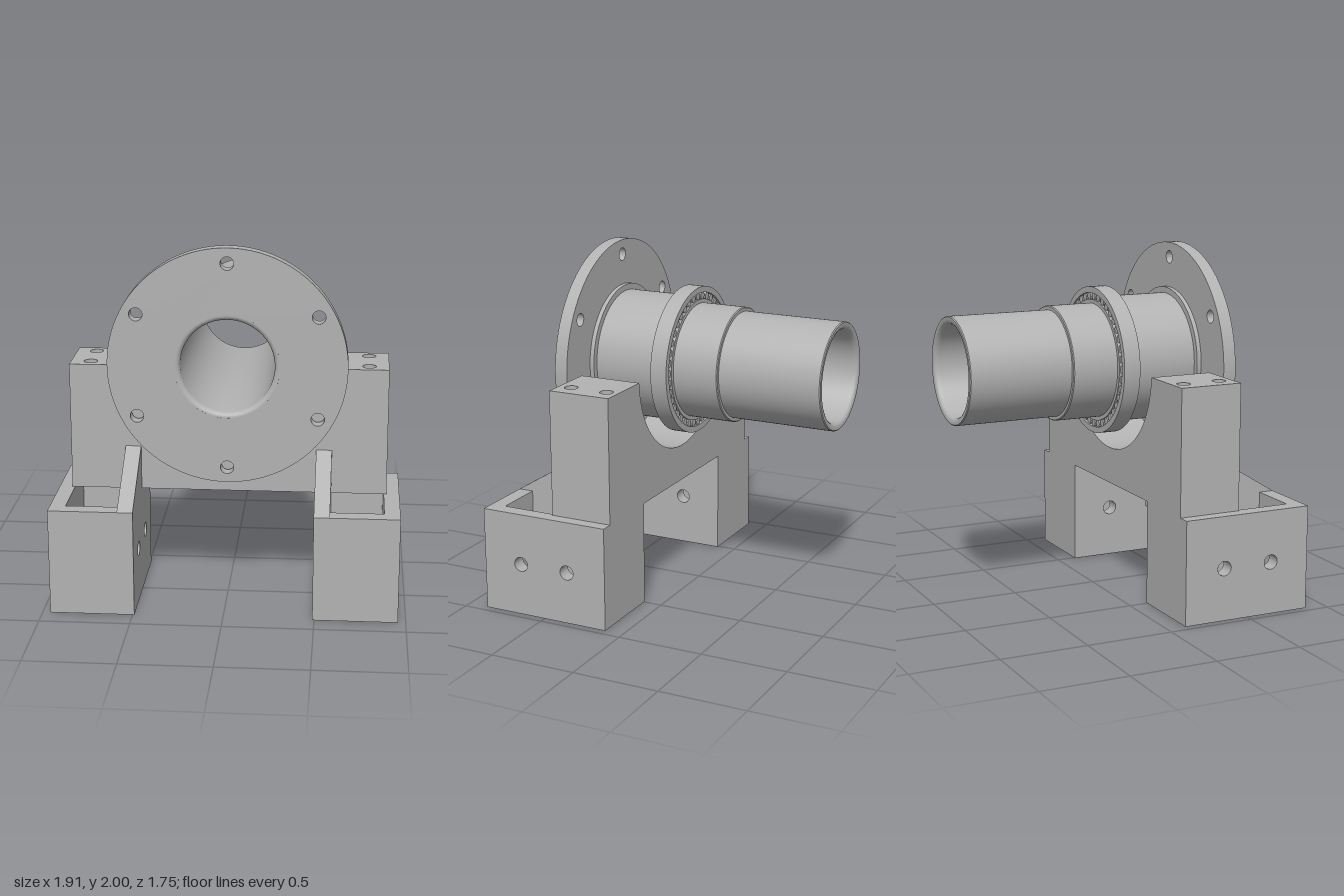
import * as THREE from 'three';
import { toCreasedNormals } from 'three/addons/utils/BufferGeometryUtils.js';

const AXIS_Y = 1.34;

export function createModel() {
  const model = new THREE.Group();
  model.name = 'spindleOnStand';
  const steel = new THREE.MeshStandardMaterial({ color: 0xb2b2b2, side: THREE.DoubleSide });
  steel.name = 'plain grey steel';

  const add = (name, geometry, parent = model) => {
    const mesh = new THREE.Mesh(toCreasedNormals(geometry, 0.5), steel);
    mesh.name = name;
    parent.add(mesh);
    return mesh;
  };
  const box = (name, x0, x1, y0, y1, z0, z1) =>
    add(name, new THREE.BoxGeometry(x1 - x0, y1 - y0, z1 - z0)
      .translate((x0 + x1) / 2, (y0 + y1) / 2, (z0 + z1) / 2));
  const polygon = (points) => new THREE.Shape(points.map(([x, y]) => new THREE.Vector2(x, y)));
  const hole = (shape, x, y, r) =>
    shape.holes.push(new THREE.Path().absarc(x, y, r, 0, Math.PI * 2, true));
  const extrude = (shape, depth) =>
    new THREE.ExtrudeGeometry(shape, { depth, bevelEnabled: false, curveSegments: 32 });
  // Plate drawn in (z, y), with its thickness along x
  const sidePlate = (name, shape, x0, x1) =>
    add(name, extrude(shape, x1 - x0).rotateY(-Math.PI / 2).translate(x1, 0, 0));
  // Turned part from [radius, z] pairs: outside from back to front, then inside back again
  const turned = (name, profile, parent) =>
    add(name, new THREE.LatheGeometry(
      [...profile, profile[0]].map(([r, z]) => new THREE.Vector2(r, z)), 96).rotateX(Math.PI / 2), parent);

  // Rotating parts, all about the z axis at the spindle height
  const spindle = new THREE.Group();
  spindle.name = 'spindle';
  spindle.position.y = AXIS_Y;
  model.add(spindle);

  turned('hollowShaft', [
    [0.302, -0.875], [0.307, -0.87], [0.307, -0.27], [0.325, -0.27], [0.33, -0.265],
    [0.33, 0.095], [0.365, 0.095], [0.365, 0.47], [0.4, 0.47], [0.4, 0.497], [0.29, 0.497],
    [0.29, 0.57], [0.284, 0.57], [0.275, 0.567], [0.267, 0.56], [0.262, 0.551], [0.26, 0.54],
    [0.26, -0.845], [0.264, -0.86], [0.273, -0.871], [0.281, -0.875],
  ], spindle);

  // Front flange with six bolt holes
  const flange = new THREE.Shape().absarc(0, 0, 0.66, 0, Math.PI * 2);
  hole(flange, 0, 0, 0.29);
  for (let i = 0; i < 6; i++) {
    const a = Math.PI / 6 + i * Math.PI / 3;
    hole(flange, 0.575 * Math.cos(a), 0.575 * Math.sin(a), 0.037);
  }
  const flangeGeometry = new THREE.ExtrudeGeometry(flange,
    { depth: 0.075, bevelEnabled: false, curveSegments: 80 });
  add('flange', flangeGeometry.translate(0, 0, 0.495), spindle);

  // Roller bearing behind the stand
  turned('bearingOuterRing', [[0.425, -0.003], [0.425, 0.095], [0.39, 0.095], [0.39, -0.003]], spindle);
  turned('bearingInnerRing', [[0.352, 0], [0.352, 0.095], [0.328, 0.095], [0.328, 0]], spindle);
  const rollers = 40;
  for (let i = 0; i < rollers; i++) {
    const a = i / rollers * Math.PI * 2;
    const roller = add('bearingRoller',
      new THREE.CylinderGeometry(0.022, 0.022, 0.085, 12).rotateX(Math.PI / 2), spindle);
    roller.position.set(0.371 * Math.cos(a), 0.371 * Math.sin(a), 0.048);
  }

  // Saddle with a round cradle; its outer shoulders carry the drilled blocks
  const cut = Math.asin((AXIS_Y - 1.315) / 0.53);
  const saddle = polygon([[-0.885, 0.597], [0.885, 0.597], [0.885, 1.07], [0.66, 1.07],
    [0.66, 1.315], [0.53, 1.315]]);
  saddle.absarc(0, AXIS_Y, 0.53, -cut, -Math.PI + cut, true);
  saddle.lineTo(-0.66, 1.315);
  saddle.lineTo(-0.66, 1.07);
  saddle.lineTo(-0.885, 1.07);
  add('saddle', extrude(saddle, 0.365).translate(0, 0, 0.11));

  for (const s of [-1, 1]) {
    const side = s > 0 ? 'left' : 'right';
    const span = (a, b) => (s > 0 ? [a, b] : [-b, -a]);

    // Drilled block on top of the saddle, with cone-bottomed holes
    const [bx0, bx1] = span(0.66, 0.885);
    const block = polygon([[bx0, -0.475], [bx1, -0.475], [bx1, -0.11], [bx0, -0.11]]);
    for (const z of [0.18, 0.4]) {
      hole(block, s * 0.775, -z, 0.038);
      const cone = [new THREE.Vector2(0, 1.09), new THREE.Vector2(0.038, 1.115)];
      add(side + 'DrillPoint', new THREE.LatheGeometry(cone, 32).translate(s * 0.775, 0, z));
    }
    add(side + 'DrilledBlock', extrude(block, 0.245).rotateX(-Math.PI / 2).translate(0, 1.07, 0));

    // Hollow foot: two drilled side walls, front and back walls
    const wall = polygon([[0.11, 0], [0.88, 0], [0.88, 0.597], [0.11, 0.597]]);
    for (const z of [0.35, 0.645]) hole(wall, z, 0.3, 0.042);
    sidePlate(side + 'FootInnerWall', wall, ...span(0.49, 0.577));
    sidePlate(side + 'FootOuterWall', wall, ...span(0.87, 0.957));
    box(side + 'FootFrontWall', ...span(0.577, 0.87), 0, 0.597, 0.793, 0.88);
    box(side + 'FootBackWall', ...span(0.577, 0.87), 0, 0.597, 0.11, 0.197);

    // Sloping rib from foot to saddle
    const rib = polygon([[0.475, 0.597], [0.88, 0.597], [0.475, 0.847]]);
    sidePlate(side + 'Rib', rib, ...span(0.49, 0.577));
  }
  return model;
}
